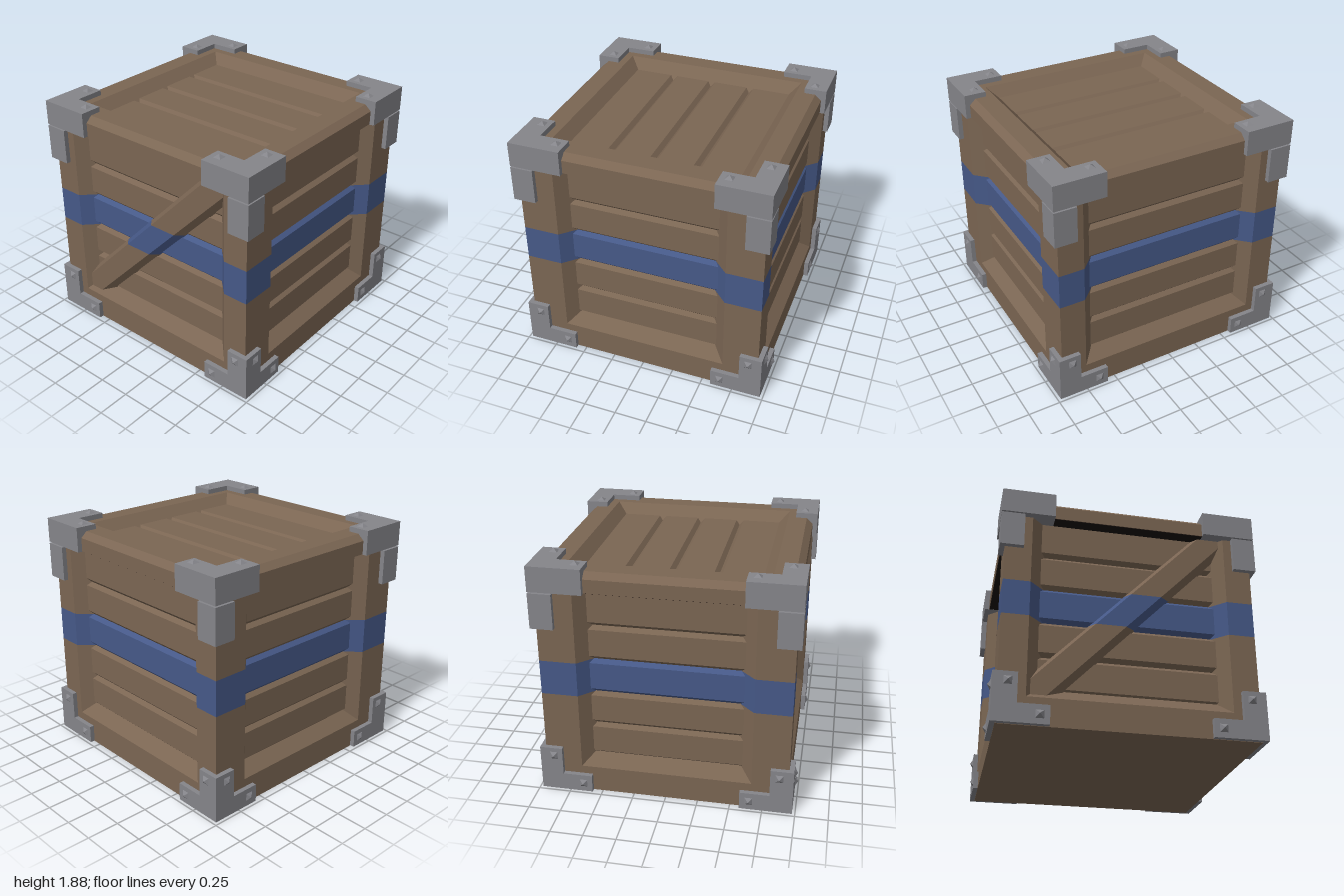
import * as THREE from 'three';

const wood = new THREE.MeshStandardMaterial({ color: 0x7b6653 });
wood.name = 'brown wood';
const paint = new THREE.MeshStandardMaterial({ color: 0x465988 });
paint.name = 'blue paint';
const metal = new THREE.MeshStandardMaterial({ color: 0x85858a });
metal.name = 'grey metal';
const dark = new THREE.MeshStandardMaterial({ color: 0x140c0a });
dark.name = 'dark interior';

const OUT = 0.94, FACE = 0.86, VALLEY = 0.83;   // outer frame, plank face, groove bottom
const TOP = 1.655, LID = 1.67;
// Height bands of the body: the middle one is painted
const BANDS = [[0, 0.83, wood], [0.83, 1.105, paint], [1.105, TOP, wood]];
const SIGNS = [-1, 1];
const CORNERS = [[1, 1], [1, -1], [-1, -1], [-1, 1]];

function add(parent, name, geometry, material) {
  const flat = geometry.index ? geometry.toNonIndexed() : geometry;
  flat.computeVertexNormals();
  const mesh = new THREE.Mesh(flat, material);
  mesh.name = name;
  parent.add(mesh);
  return mesh;
}

function extrude(points, depth) {
  const shape = new THREE.Shape(points.map(([x, y]) => new THREE.Vector2(x, y)));
  return new THREE.ExtrudeGeometry(shape, { depth, bevelEnabled: false });
}

// Upright prism over an (x, z) outline
function prismY(points, y0, y1) {
  return extrude(points.map(([x, z]) => [x, -z]), y1 - y0).rotateX(-Math.PI / 2).translate(0, y0, 0);
}

// Bar along x with a (z, y) cross-section
function barX(points, half) {
  return extrude(points.map(([z, y]) => [-z, y]), half * 2).rotateY(Math.PI / 2).translate(-half, 0, 0);
}

function box(x0, x1, y0, y1, z0, z1) {
  return new THREE.BoxGeometry(Math.abs(x1 - x0), y1 - y0, Math.abs(z1 - z0))
    .translate((x0 + x1) / 2, (y0 + y1) / 2, (z0 + z1) / 2);
}

// Pyramid stud pointing along a direction
function stud(parent, x, y, z, direction) {
  const geometry = new THREE.ConeGeometry(0.03 * Math.SQRT2, 0.024, 4).rotateY(Math.PI / 4).translate(0, 0.012, 0);
  const mesh = add(parent, 'stud', geometry, metal);
  mesh.position.set(x, y, z);
  mesh.quaternion.setFromUnitVectors(new THREE.Vector3(0, 1, 0), new THREE.Vector3(...direction));
}

// One wall: bottom rail with sloped inner edge and five bevelled planks
function wall(name, half, angle) {
  const group = new THREE.Group();
  group.name = name;
  add(group, 'bottomRail', barX([[0.7, 0], [OUT, 0], [OUT, 0.21], [VALLEY, 0.32], [0.7, 0.32]], half + 0.12), wood);
  for (let i = 0; i < 5; i++) {
    const y0 = 0.285 + i * 0.274, y1 = i === 4 ? TOP : y0 + 0.274;
    const profile = [[0.78, y0], [VALLEY, y0], [FACE, y0 + 0.03]];
    if (i === 4) profile.push([FACE, y1]);
    else profile.push([FACE, y1 - 0.03], [VALLEY, y1]);
    profile.push([0.78, y1]);
    add(group, 'wallPlank', barX(profile, half + 0.02), i === 2 ? paint : wood);
  }
  group.rotation.y = angle;
  return group;
}

function cornerPosts(parent) {
  const outline = [[OUT, OUT], [0.74, OUT], [0.63, VALLEY], [0.63, 0.55], [VALLEY, 0.55], [OUT, 0.66]];
  for (const [sx, sz] of CORNERS)
    for (const [y0, y1, material] of BANDS)
      add(parent, 'cornerPost', prismY(outline.map(([x, z]) => [x * sx, z * sz]), y0, y1), material);
}

// Diagonal bevelled brace on the front, sheared from an upright prism
function brace(parent) {
  const outline = [[-1.1, 0.855], [-1.053, 0.91], [-0.828, 0.91], [-0.757, 0.855]];
  const shear = new THREE.Matrix4().set(1, 1 / 1.036, 0, 0, 0, 1, 0, 0, 0, 0, 1, 0, 0, 0, 0, 1);
  for (const [y0, y1, material] of BANDS)
    add(parent, 'diagonalBrace', prismY(outline, y0 || 0.17, y1).applyMatrix4(shear), material);
}

function lid() {
  const group = new THREE.Group();
  group.name = 'lid';
  // Mitred square frame with chamfered outer edge and sloped inner edge
  const profile = [[0.63, LID], [OUT, LID], [OUT, 1.775], [0.89, 1.82], [0.74, 1.82], [0.63, 1.71], [0.63, LID]];
  const points = profile.map(([r, y]) => new THREE.Vector2(r * Math.SQRT2, y));
  add(group, 'lidFrame', new THREE.LatheGeometry(points, 4, Math.PI / 4), wood);
  for (let i = 0; i < 4; i++) {
    const z0 = -0.664 + i * 0.331, z1 = z0 + 0.331;
    // Outer bevels are left off where planks meet the frame
    const a = i === 0 ? 0 : 0.03, b = i === 3 ? 0 : 0.03;
    const section = [[z0, 1.68], [z0, a ? 1.71 : 1.74], [z0 + a, 1.74], [z1 - b, 1.74], [z1, b ? 1.71 : 1.74], [z1, 1.68]];
    add(group, 'lidPlank', barX(section.filter((p, k) => !((k === 2 && !a) || (k === 3 && !b))), 0.68), wood);
  }
  add(group, 'lidUnderside', box(-0.935, 0.935, LID - 0.003, LID + 0.004, -0.935, 0.935), dark);
  return group;
}

// Metal fittings for one vertical corner
function cornerMetal(sx, sz) {
  const group = new THREE.Group();
  group.name = 'cornerFittings';
  const O = 0.977, I = 0.802, ARM = 0.575;
  const block = (name, x, z, y0, y1) => add(group, name, box(sx * x, sx * O, y0, y1, sz * z, sz * O), metal);
  block('lowerBracketUpright', I, I, 0.003, 0.37);
  block('lowerBracketArm', ARM, I, 0.003, 0.145);
  block('lowerBracketArm', I, ARM, 0.003, 0.145);
  block('upperBracket', I, I, 1.38, TOP);
  block('lidBracketArm', ARM, I, LID - 0.004, 1.86);
  block('lidBracketArm', I, ARM, LID - 0.004, 1.86);
  for (const [a, y] of [[0.87, 0.305], [0.645, 0.075]]) {
    stud(group, sx * a, y, sz * O, [0, 0, sz]);
    stud(group, sx * O, y, sz * a, [sx, 0, 0]);
  }
  stud(group, sx * 0.645, 1.86, sz * 0.87, [0, 1, 0]);
  stud(group, sx * 0.87, 1.86, sz * 0.645, [0, 1, 0]);
  return group;
}

export function createModel() {
  const model = new THREE.Group();
  model.name = 'crate';
  const body = new THREE.Group();
  body.name = 'body';
  body.add(wall('frontWall', 0.66, 0), wall('backWall', 0.66, Math.PI));
  for (const s of SIGNS) body.add(wall(s > 0 ? 'leftWall' : 'rightWall', 0.585, s * Math.PI / 2));
  cornerPosts(body);
  brace(body);
  add(body, 'floor', box(-0.9, 0.9, 0, 0.05, -0.9, 0.9), wood);
  add(body, 'innerCover', box(-0.8, 0.8, 1.6, 1.645, -0.8, 0.8), dark);
  model.add(body, lid());
  for (const [sx, sz] of CORNERS) model.add(cornerMetal(sx, sz));
  return model;
}
